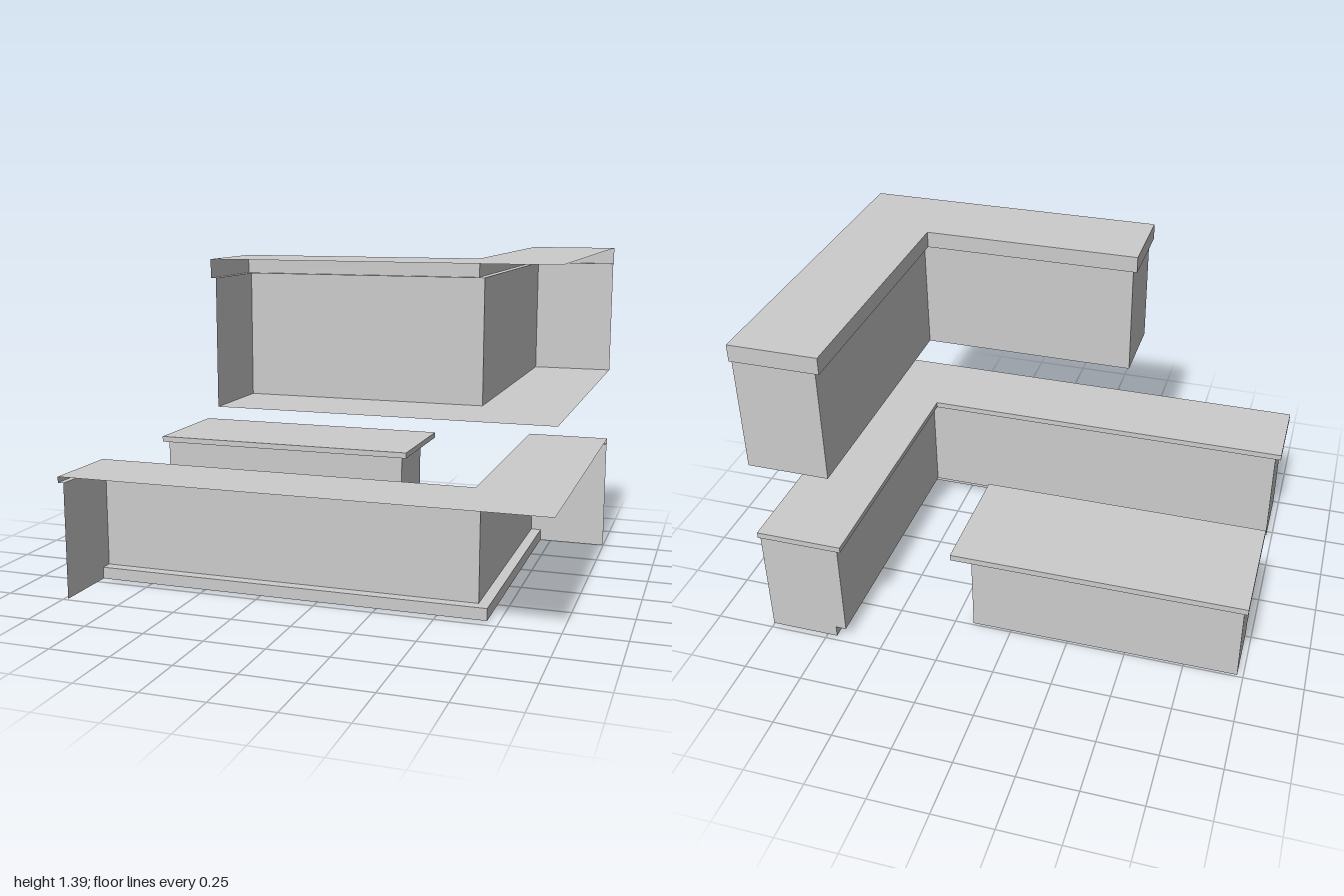
import * as THREE from 'three';

const material = new THREE.MeshStandardMaterial({ color: 0xcccccc, side: THREE.DoubleSide });

// Band of flat quads joining path a at height ya to path b at height yb
function band(name, a, ya, b, yb) {
  const pos = [];
  for (let i = 0; i < a.length - 1; i++) {
    const p = [a[i][0], ya, a[i][1]], q = [a[i + 1][0], ya, a[i + 1][1]];
    const r = [b[i + 1][0], yb, b[i + 1][1]], s = [b[i][0], yb, b[i][1]];
    pos.push(...p, ...r, ...q, ...p, ...s, ...r);
  }
  const geo = new THREE.BufferGeometry();
  geo.setAttribute('position', new THREE.Float32BufferAttribute(pos, 3));
  geo.computeVertexNormals();
  const mesh = new THREE.Mesh(geo, material);
  mesh.name = name;
  return mesh;
}

// Horizontal plate with the given x, z outline, facing up or down
function plate(name, outline, y, up) {
  const shape = new THREE.Shape(outline.map(([x, z]) => new THREE.Vector2(x, up ? -z : z)));
  const geo = new THREE.ShapeGeometry(shape);
  geo.rotateX(up ? -Math.PI / 2 : Math.PI / 2).translate(0, y, 0);
  const mesh = new THREE.Mesh(geo, material);
  mesh.name = name;
  return mesh;
}

// Room-side line of an L run: end x, front z, inner x of the side leg, end z
const lPath = (x0, z, x1, z1) => [[x0, 0.75], [x0, z], [x1, z], [x1, z1], [1, z1]];
const corner = [1, 0.75];

// Closed rectangle
const rect = (x0, x1, z0, z1) => [[x0, z1], [x0, z0], [x1, z0], [x1, z1], [x0, z1]];

function unit(name, ...parts) {
  const group = new THREE.Group();
  group.name = name;
  group.add(...parts);
  return group;
}

export function createModel() {
  const model = new THREE.Group();
  model.name = 'kitchenCabinets';

  // Base run: open along the walls and floor, with a recessed toe kick
  const kick = lPath(-0.975, 0.465, 0.705, -0.73);
  const base = lPath(-0.975, 0.415, 0.66, -0.73);
  const counter = lPath(-1, 0.395, 0.635, -0.75);
  model.add(unit('baseCabinets',
    band('toeKick', kick, 0.005, kick, 0.055),
    band('toeKickSoffit', kick, 0.055, base, 0.055),
    band('cabinetFronts', base, 0.055, base, 0.49),
    band('counterSoffit', base, 0.49, counter, 0.49),
    band('counterEdge', counter, 0.49, counter, 0.515),
    plate('counterTop', [...counter, corner], 0.515, true)));

  // Wall run: closed underneath, topped with a deeper cornice
  const wall = lPath(-0.285, 0.415, 0.66, -0.73);
  const cornice = lPath(-0.305, 0.395, 0.635, -0.75);
  model.add(unit('wallCabinets',
    plate('cabinetBottom', [...wall, corner], 0.84, false),
    band('cabinetFronts', wall, 0.84, wall, 1.325),
    band('corniceSoffit', wall, 1.325, cornice, 1.325),
    band('corniceEdge', cornice, 1.325, cornice, 1.395),
    plate('corniceTop', [...cornice, corner], 1.395, true)));

  // Island: toe kick on the front, seating overhang at the back
  const islandKick = rect(-0.975, 0.17, -0.49, -0.225);
  const island = rect(-0.975, 0.17, -0.49, -0.18);
  const islandTop = rect(-1, 0.195, -0.665, -0.16);
  model.add(unit('island',
    band('toeKick', islandKick, 0, islandKick, 0.05),
    band('toeKickSoffit', islandKick, 0.05, island, 0.05),
    band('cabinetBody', island, 0.05, island, 0.485),
    band('counterSoffit', island, 0.485, islandTop, 0.485),
    band('counterEdge', islandTop, 0.485, islandTop, 0.51),
    plate('counterTop', islandTop.slice(0, 4), 0.51, true)));

  return model;
}
